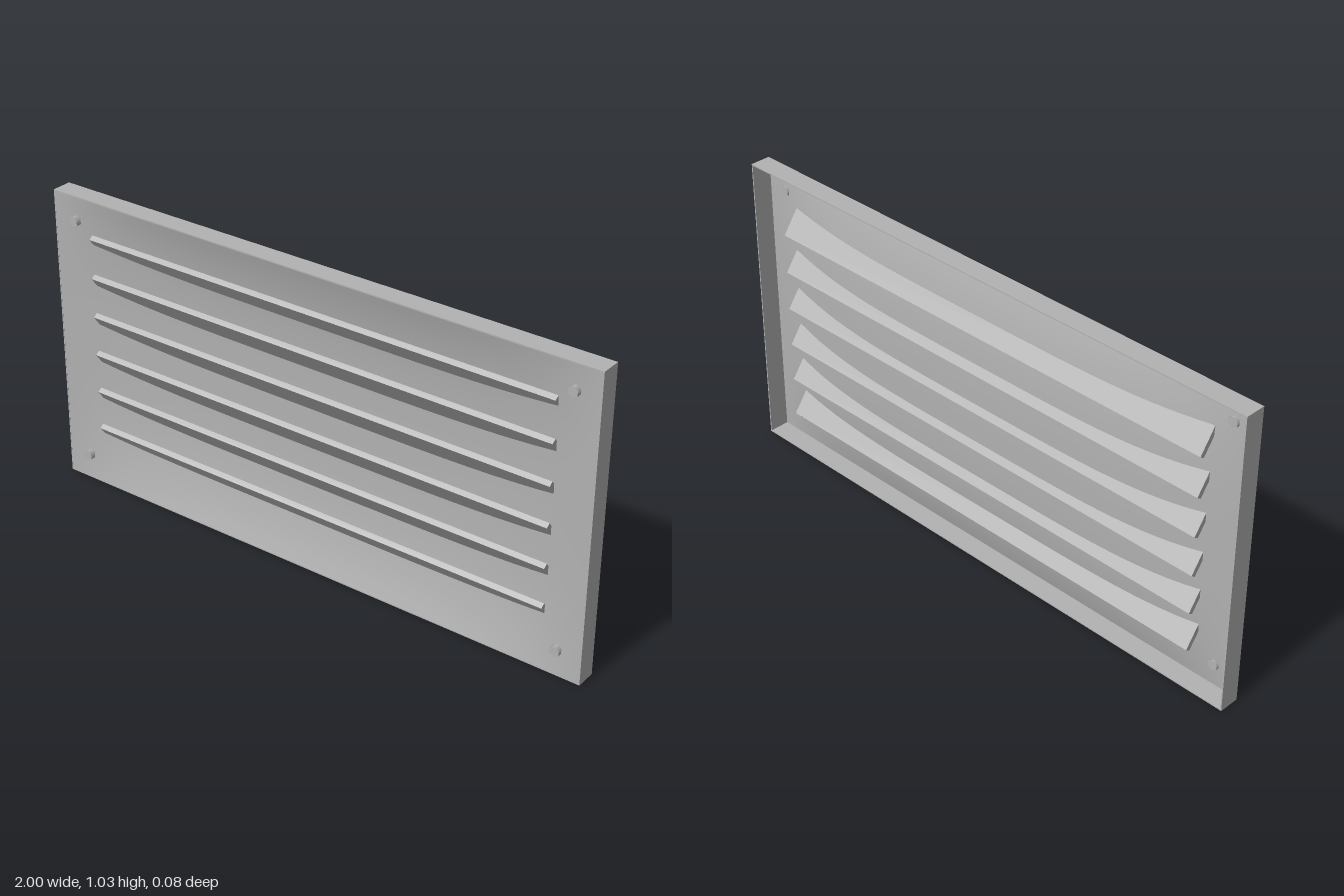
import * as THREE from 'three';

const W = 2, H = 1.03, FRONT = 0.03, BACK = -0.04;

export function createModel() {
  const group = new THREE.Group();
  const metal = new THREE.MeshStandardMaterial({ color: 0xb2b2b2, side: THREE.DoubleSide });
  metal.name = 'grey metal';

  const add = (name, geometry, x, y, z) => {
    const mesh = new THREE.Mesh(geometry, metal);
    mesh.name = name;
    mesh.position.set(x, y, z);
    group.add(mesh);
    return mesh;
  };

  // Front panel: thin sheet, gently dished towards the back
  const panel = new THREE.PlaneGeometry(W, H, 40, 28);
  const p = panel.attributes.position;
  for (let i = 0; i < p.count; i++) {
    const u = Math.abs(p.getX(i)) / (W / 2);
    const v = Math.abs(p.getY(i)) / (H / 2);
    p.setZ(i, -0.055 * (1 - u ** 4) * (1 - v ** 3));
  }
  panel.computeVertexNormals();
  add('panel', panel, 0, H / 2, FRONT);

  // Thin rim walls, open at the back
  const depth = FRONT - BACK, zMid = (FRONT + BACK) / 2, t = 0.004;
  for (const s of [-1, 1]) {
    add('sideRim', new THREE.BoxGeometry(t, H, depth), s * (W - t) / 2, H / 2, zMid);
    add('edgeRim', new THREE.BoxGeometry(W, t, depth), 0, H / 2 + s * (H - t) / 2, zMid);
  }

  // Six tilted louvre slats passing through the panel
  const slat = new THREE.BoxGeometry(1.715, 0.094, 0.018);
  for (let i = 0; i < 6; i++) {
    add('slat', slat, 0, 0.8615 - i * 0.137, -0.005).rotation.x = 0.626;
  }

  // Corner bolts
  const bolt = new THREE.CylinderGeometry(0.018, 0.018, 0.025, 6);
  for (const x of [-0.914, 0.914]) {
    for (const y of [0.088, 0.944]) {
      add('bolt', bolt, x, y, 0.0275).rotation.x = Math.PI / 2;
    }
  }
  return group;
}
